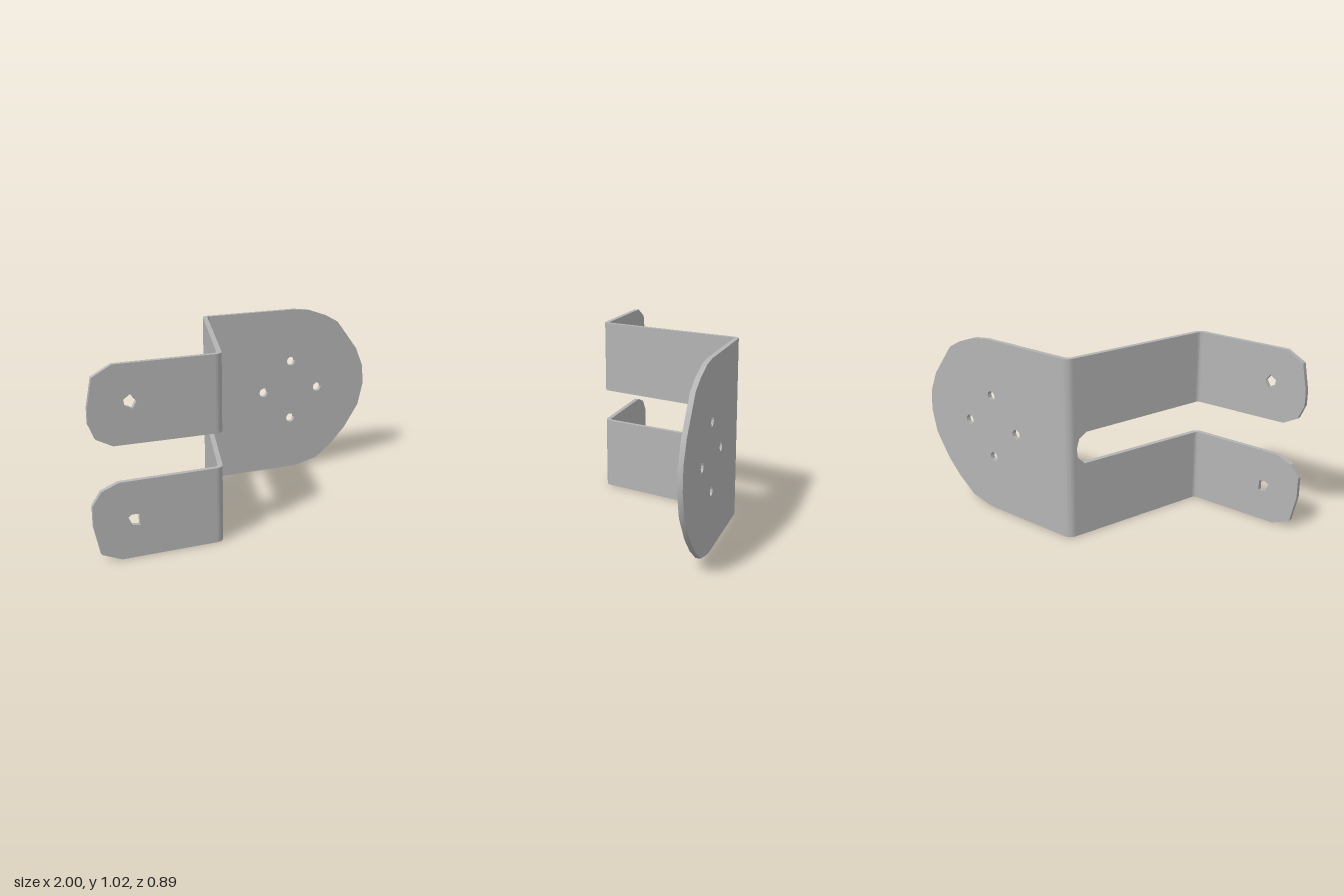
import * as THREE from 'three';
import { toCreasedNormals } from 'three/addons/utils/BufferGeometryUtils.js';

const THICK = 0.027;          // sheet thickness
const PLATE_Z = 0.431;        // mid-plane of the two parallel plates
const BEND_R = 0.035;         // bend radius at mid-sheet
const HEIGHT = 1.025;
const MID_X = -0.2;           // the sloping web passes through (MID_X, 0)
const TURN = THREE.MathUtils.degToRad(74.7);
const WEB_HALF = (PLATE_Z - BEND_R * (1 - Math.cos(TURN))) / Math.sin(TURN);
const BEND_X = MID_X - WEB_HALF * Math.cos(TURN) - BEND_R * Math.sin(TURN);
const SLOT = [0.42, 0.61];    // bottom and top of the slot

const steel = new THREE.MeshStandardMaterial({ color: 0xb4b4b4 });
steel.name = 'plain grey steel';

const points = (list) => list.map(([x, y]) => new THREE.Vector2(x, y));

function add(parent, name, geometry) {
  const mesh = new THREE.Mesh(toCreasedNormals(geometry, 0.5), steel);
  mesh.name = name;
  parent.add(mesh);
  return mesh;
}

// Flat sheet centred on its own mid-plane
function sheet(outline, holes = []) {
  const shape = new THREE.Shape(points(outline));
  shape.holes = holes.map((h) => new THREE.Path(points(h)));
  return new THREE.ExtrudeGeometry(shape, { depth: THICK, bevelEnabled: false })
    .translate(0, 0, -THICK / 2);
}

function roundHole(cx, cy, r, sides) {
  return Array.from({ length: sides }, (_, i) => {
    const a = (-i / sides) * Math.PI * 2;
    return [cx + r * Math.cos(a), cy + r * Math.sin(a)];
  });
}

// Curved fold between the front plate and the web, from y0 to y1
function fold(y0, y1) {
  const start = -Math.PI / 2;
  const shape = new THREE.Shape();
  const cy = -(PLATE_Z - BEND_R);
  shape.absarc(BEND_X, cy, BEND_R + THICK / 2, start, start + TURN, false);
  shape.absarc(BEND_X, cy, BEND_R - THICK / 2, start + TURN, start, true);
  shape.closePath();
  return new THREE.ExtrudeGeometry(shape, { depth: y1 - y0, bevelEnabled: false, curveSegments: 6 })
    .rotateX(-Math.PI / 2).translate(0, y0, 0);
}

export function createModel() {
  const model = new THREE.Group();
  model.name = 'bentBracket';

  // Broad back plate with a rounded end and four holes
  const backX = 2 * MID_X - BEND_X;
  const backPlate = add(model, 'backPlate', sheet([
    [backX, 0], [0.49, 0], [0.54, 0.004], [0.67, 0.035], [0.78, 0.12], [0.87, 0.215],
    [0.965, 0.36], [0.998, 0.5], [0.99, 0.62], [0.94, 0.74], [0.8, 0.925],
    [0.72, 0.97], [0.6, 1.013], [0.5, HEIGHT], [backX, HEIGHT],
  ], [[0.295, 0.515], [0.48, 0.7], [0.665, 0.515], [0.48, 0.33]]
    .map(([x, y]) => roundHole(x, y, 0.028, 10))));
  backPlate.position.z = -PLATE_Z;

  // Two front arms, each with a rough hole
  const upperArm = add(model, 'upperArm', sheet([
    [BEND_X, SLOT[1]], [BEND_X, HEIGHT], [-0.87, HEIGHT], [-0.97, 0.97], [-0.998, 0.82],
    [-0.998, 0.74], [-0.965, 0.66], [-0.88, 0.615],
  ], [[[-0.785, 0.87], [-0.755, 0.83], [-0.775, 0.795], [-0.815, 0.815], [-0.82, 0.845]]]));
  const lowerArm = add(model, 'lowerArm', sheet([
    [BEND_X, 0], [BEND_X, SLOT[0]], [-0.86, SLOT[0]], [-0.95, 0.385], [-0.998, 0.315],
    [-0.998, 0.2], [-0.965, 0.045], [-0.86, 0],
  ], [[[-0.82, 0.225], [-0.8, 0.24], [-0.76, 0.235], [-0.76, 0.175], [-0.8, 0.182]]]));
  upperArm.position.z = lowerArm.position.z = PLATE_Z;

  // Sloping web, slotted almost to the back fold
  const web = add(model, 'slopingWeb', sheet([
    [-WEB_HALF, 0], [WEB_HALF, 0], [WEB_HALF, HEIGHT], [-WEB_HALF, HEIGHT],
    [-WEB_HALF, SLOT[1]], [0.342, 0.605], [0.389, 0.575], [0.404, 0.52],
    [0.399, 0.47], [0.355, 0.425], [-WEB_HALF, SLOT[0]],
  ]));
  web.position.x = MID_X;
  web.rotation.y = TURN;

  // Folds
  add(model, 'lowerFrontFold', fold(0, SLOT[0]));
  add(model, 'upperFrontFold', fold(SLOT[1], HEIGHT));
  const backFold = add(model, 'backFold', fold(0, HEIGHT));
  backFold.rotation.y = Math.PI;
  backFold.position.x = 2 * MID_X;

  return model;
}
